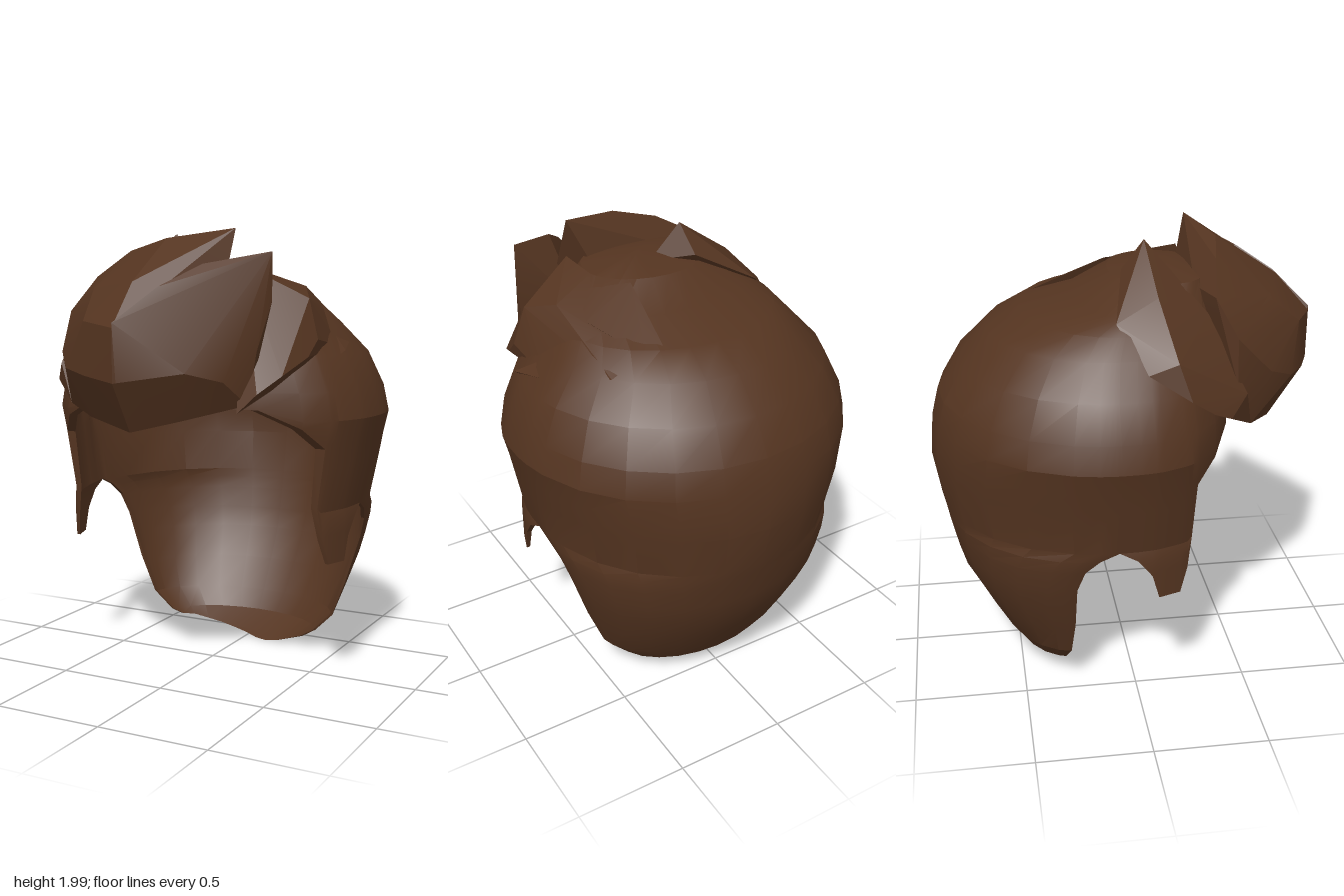
import * as THREE from 'three';
import { toCreasedNormals } from 'three/addons/utils/BufferGeometryUtils.js';
import { ConvexGeometry } from 'three/addons/geometries/ConvexGeometry.js';

const material = new THREE.MeshStandardMaterial({ color: 0x543420, roughness: 0.9, side: THREE.DoubleSide });

// Horizontal sections of the cap: height, half width, back z, centre z, front z
const SECTIONS = [
  [0.00, 0.22, -0.32, -0.29, 0.45],
  [0.04, 0.30, -0.40, -0.29, 0.45],
  [0.11, 0.40, -0.52, -0.28, 0.45],
  [0.20, 0.49, -0.58, -0.27, 0.45],
  [0.35, 0.55, -0.67, -0.26, 0.45],
  [0.50, 0.60, -0.75, -0.28, 0.45],
  [0.60, 0.63, -0.78, -0.27, 0.45],
  [0.70, 0.66, -0.805, -0.24, 0.45],
  [0.76, 0.68, -0.82, -0.18, 0.45],
  [0.80, 0.69, -0.83, -0.10, 0.45],
  [1.00, 0.73, -0.865, -0.10, 0.45],
  [1.10, 0.75, -0.86, -0.10, 0.45],
  [1.20, 0.775, -0.85, -0.10, 0.45],
  [1.32, 0.75, -0.82, -0.10, 0.45],
  [1.47, 0.68, -0.73, -0.10, 0.43],
  [1.60, 0.56, -0.60, -0.08, 0.42],
  [1.68, 0.49, -0.45, -0.05, 0.41],
  [1.73, 0.42, -0.22, 0.00, 0.40],
  [1.83, 0.28, -0.06, 0.14, 0.36],
  [1.87, 0.00, 0.18, 0.18, 0.18],
];
const TOP = 1.87;

// Hem height by angle from the back: nape, ear arch, sideburn, hairline
const HEM = [
  [0, 0.025], [15, 0.025], [30, 0.03], [45, 0.04], [60, 0.06], [75, 0.075], [83, 0.11], [86, 0.20],
  [88, 0.38], [89.4, 0.60], [89.7, 0.70], [89.9, 0.76], [90, 0.80], [95, 0.76], [100.4, 0.68],
  [103.4, 0.57], [114, 0.57], [118, 0.68], [120.5, 0.82], [122, 1.08], [135, 1.17], [152, 1.25],
  [166, 1.25], [180, 1.25],
];

function sectionAt(y) {
  let i = 1;
  while (i < SECTIONS.length - 1 && SECTIONS[i][0] < y) i++;
  const a = SECTIONS[i - 1], b = SECTIONS[i];
  const t = (y - a[0]) / (b[0] - a[0]);
  return a.map((v, k) => v + (b[k] - v) * t);
}

// Point on the cap, outside or lining; the lining thickens up the sideburn
function capPoint(deg, y, inner) {
  const a = THREE.MathUtils.degToRad(deg), s = Math.sin(a), c = Math.cos(a);
  let [, w, back, mid, front] = sectionAt(y);
  if (Math.abs(deg) <= 90) {
    const k = inner ? 0.975 : 1;
    return [w * s * k, mid + (back - mid) * c * k];
  }
  if (y < 0.8) { w = 0.7; mid = -0.1; }
  const x = w * Math.sign(s) * Math.pow(Math.abs(s), 0.8);
  const k = inner ? THREE.MathUtils.clamp(THREE.MathUtils.mapLinear(y, 0.57, 1.2, 0.975, 0.92), 0.92, 0.975) : 1;
  return [x * k, mid + (front - mid) * Math.pow(-c, 0.8)];
}

// Hollow cap: the grid runs down the lining, round the hem and up the outside
function capGeometry() {
  const columns = [...HEM.slice(1).reverse().map(([d, h]) => [-d, h]), ...HEM];
  const levels = SECTIONS.map((s) => s[0]);
  const N = levels.length, rows = 2 * N;
  const positions = [], index = [];
  for (const [deg, h] of columns) {
    // the nape hangs a little lower on the left
    const hem = Math.abs(deg) < 80 ? h - 0.022 * Math.sin(THREE.MathUtils.degToRad(deg * 2)) : h;
    for (let r = 0; r < rows; r++) {
      const inner = r < N;
      const y = Math.max(hem, levels[inner ? N - 1 - r : r - N]);
      const [x, z] = capPoint(deg, y, inner);
      positions.push(x, inner ? y - 0.03 * (y - hem) / (TOP - hem) : y, z);
    }
  }
  for (let j = 0; j < columns.length - 1; j++) {
    for (let r = 0; r < rows - 1; r++) {
      const a = j * rows + r, b = a + rows;
      index.push(a, a + 1, b, b, a + 1, b + 1);
    }
  }
  const g = new THREE.BufferGeometry();
  g.setAttribute('position', new THREE.Float32BufferAttribute(positions, 3));
  g.setIndex(index);
  return g;
}

// Each lock is a faceted lump spanned by its corner points
const LOCKS = {
  mainQuiffLock: [
    [0, 1.17, 0.73], [0, 1.38, 0.86], [0, 1.6, 0.86], [0, 1.78, 0.7], [-0.26, 1.21, 0.62],
    [-0.44, 1.25, 0.5], [-0.33, 1.42, 0.7], [-0.18, 1.4, 0.79], [-0.2, 1.62, 0.76], [-0.43, 1.48, 0.58],
    [-0.51, 1.45, 0.42], [-0.49, 1.65, 0.42], [-0.4, 1.8, 0.34], [-0.25, 1.75, 0.6], [-0.2, 1.91, 0.38],
    [0, 1.96, 0.42], [0.28, 2, 0.33], [0.24, 1.85, 0.33], [0.28, 1.4, 0.6], [0.2, 1.25, 0.58],
    [0, 1.27, 0.3], [0.1, 1.6, 0.22], [-0.2, 1.8, 0.29],
  ],
  leftQuiffLock: [
    [0, 1.17, 0.73], [0, 1.38, 0.855], [0, 1.62, 0.86], [0.13, 1.76, 0.72], [0.25, 1.85, 0.57],
    [0.49, 1.9, 0.42], [0.49, 1.7, 0.42], [0.46, 1.5, 0.5], [0.37, 1.38, 0.62], [0.26, 1.42, 0.74],
    [0.42, 1.28, 0.5], [0.2, 1.22, 0.66], [0.25, 1.6, 0.28],
  ],
  rightSideLock: [
    [-0.66, 1.45, 0.2], [-0.62, 1.6, 0.15], [-0.63, 1.38, 0.3], [-0.59, 1.34, 0.38], [-0.44, 1.25, 0.5],
    [-0.52, 1.42, 0.46], [-0.6, 1.55, 0.03], [-0.44, 1.72, -0.08], [-0.4, 1.81, 0.1], [-0.16, 1.87, -0.02],
    [-0.14, 1.99, 0.08], [-0.02, 1.82, 0.13], [-0.12, 1.8, 0.22], [-0.35, 1.72, 0.32],
  ],
  leftSideLock: [
    [0.4, 1.25, 0.56], [0.48, 1.33, 0.54], [0.55, 1.4, 0.45], [0.6, 1.47, 0.3], [0.61, 1.54, 0.22],
    [0.56, 1.71, 0.2], [0.48, 1.76, 0.05], [0.28, 1.83, 0.12], [0.3, 1.85, 0.3], [0.32, 1.66, -0.37],
    [0.46, 1.6, -0.38], [0.6, 1.5, -0.05], [0.4, 1.35, 0.15],
  ],
  sweptStrand: [
    [0.46, 1.54, -0.45], [0.6, 1.54, -0.2], [0.68, 1.49, 0.08], [0.61, 1.44, 0.08], [0.6, 1.55, 0], [0.42, 1.5, -0.4],
  ],
  crownStrand: [
    [0.22, 1.68, -0.39], [0.3, 1.66, -0.39], [0.42, 1.73, -0.1], [0.36, 1.79, 0.08], [0.18, 1.83, -0.05],
    [0.3, 1.6, 0], [0.25, 1.6, -0.35],
  ],
};

export function createModel() {
  const group = new THREE.Group();
  const add = (name, geometry, crease) => {
    const mesh = new THREE.Mesh(toCreasedNormals(geometry, crease), material);
    mesh.name = name;
    group.add(mesh);
  };
  add('hairCap', capGeometry(), 0.35);
  for (const [name, points] of Object.entries(LOCKS)) {
    add(name, new ConvexGeometry(points.map((p) => new THREE.Vector3(...p))), 0.35);
  }
  return group;
}
